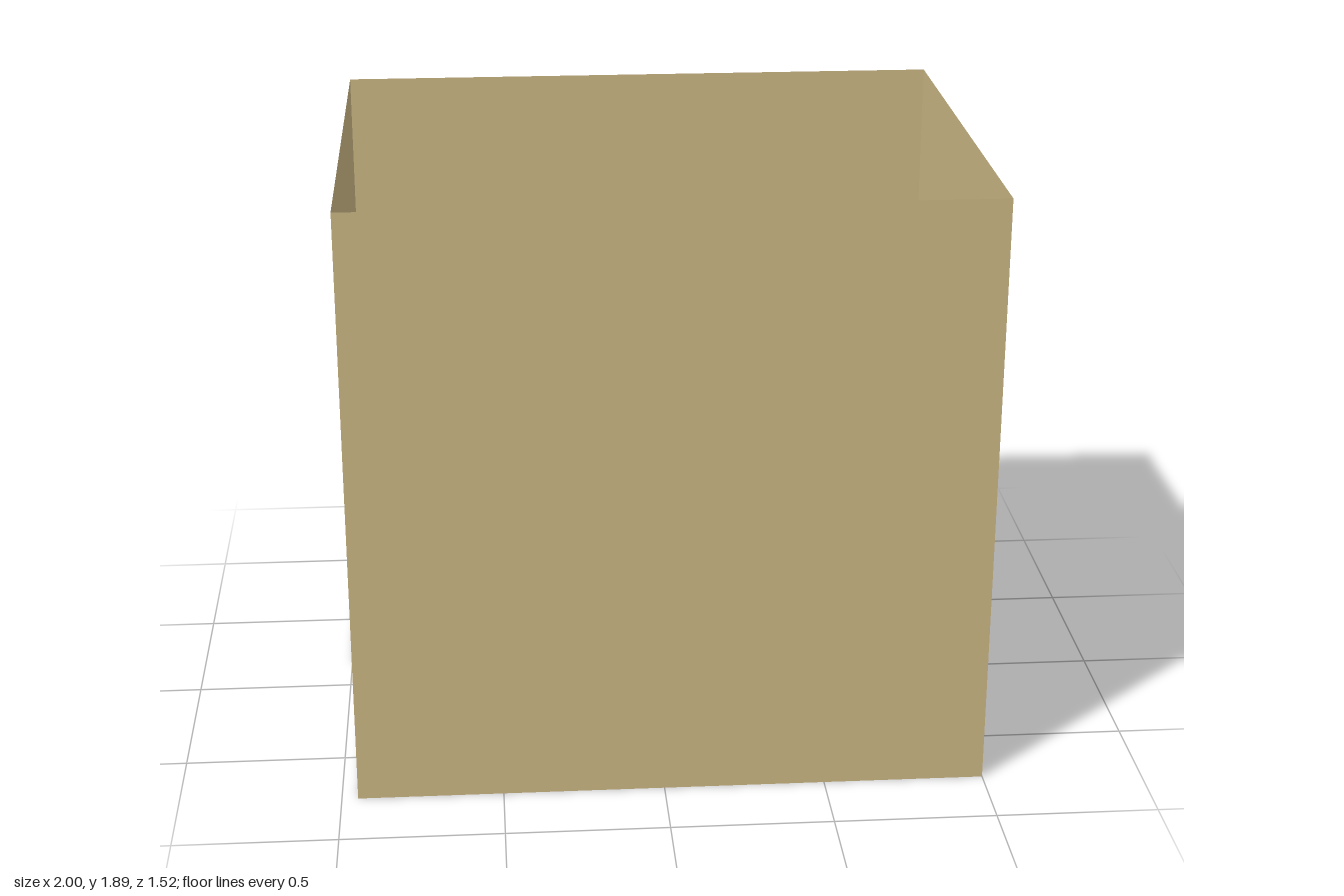
import * as THREE from 'three';

const LEFT = -0.95, RIGHT = 1, HALF = 0.76, HEIGHT = 1.89;
const DOOR_H = 1.105, PORCH = -1, DOOR_Z = [-0.61, -0.165], DOOR_X = [-0.86, -0.41];

// Upright sheet from (x0,z0) to (x1,z1), seen from outside left to right;
// door = [start, end] measured along the sheet, cut down to the floor
function sheet(name, material, [x0, z0], [x1, z1], height, door) {
  const length = Math.hypot(x1 - x0, z1 - z0);
  const points = [[0, 0]];
  if (door) points.push([door[0], 0], [door[0], DOOR_H], [door[1], DOOR_H], [door[1], 0]);
  points.push([length, 0], [length, height], [0, height]);
  const shape = new THREE.Shape(points.map(([x, y]) => new THREE.Vector2(x, y)));
  const mesh = new THREE.Mesh(new THREE.ShapeGeometry(shape), material);
  mesh.name = name;
  mesh.position.set(x0, 0, z0);
  mesh.rotation.y = Math.atan2(z0 - z1, x1 - x0);
  return mesh;
}

export function createModel() {
  const room = new THREE.Group();
  room.name = 'room';
  const plaster = new THREE.MeshStandardMaterial({ color: 0xc9b582, side: THREE.DoubleSide });
  plaster.name = 'tan plaster';
  const boards = new THREE.MeshStandardMaterial({ color: 0xa88e7b, side: THREE.DoubleSide });
  boards.name = 'brown floor';

  // Four thin walls, with doorways in the back and right ones
  room.add(
    sheet('frontWall', plaster, [LEFT, HALF], [RIGHT, HALF], HEIGHT),
    sheet('leftWall', plaster, [RIGHT, HALF], [RIGHT, -HALF], HEIGHT),
    sheet('backWall', plaster, [RIGHT, -HALF], [LEFT, -HALF], HEIGHT,
      [RIGHT - DOOR_X[1], RIGHT - DOOR_X[0]]),
    sheet('rightWall', plaster, [LEFT, -HALF], [LEFT, HALF], HEIGHT,
      [DOOR_Z[0] + HALF, DOOR_Z[1] + HALF]),
  );

  // Jambs standing out from the right doorway
  for (const z of DOOR_Z) room.add(sheet('doorJamb', plaster, [PORCH, z], [LEFT, z], DOOR_H));

  // Floor, with a threshold between the jambs
  const outline = [
    [LEFT, HALF], [RIGHT, HALF], [RIGHT, -HALF], [LEFT, -HALF],
    [LEFT, DOOR_Z[0]], [PORCH, DOOR_Z[0]], [PORCH, DOOR_Z[1]], [LEFT, DOOR_Z[1]],
  ];
  const floorShape = new THREE.Shape(outline.map(([x, z]) => new THREE.Vector2(x, -z)));
  const floor = new THREE.Mesh(new THREE.ShapeGeometry(floorShape).rotateX(-Math.PI / 2), boards);
  floor.name = 'floor';
  room.add(floor);
  return room;
}
